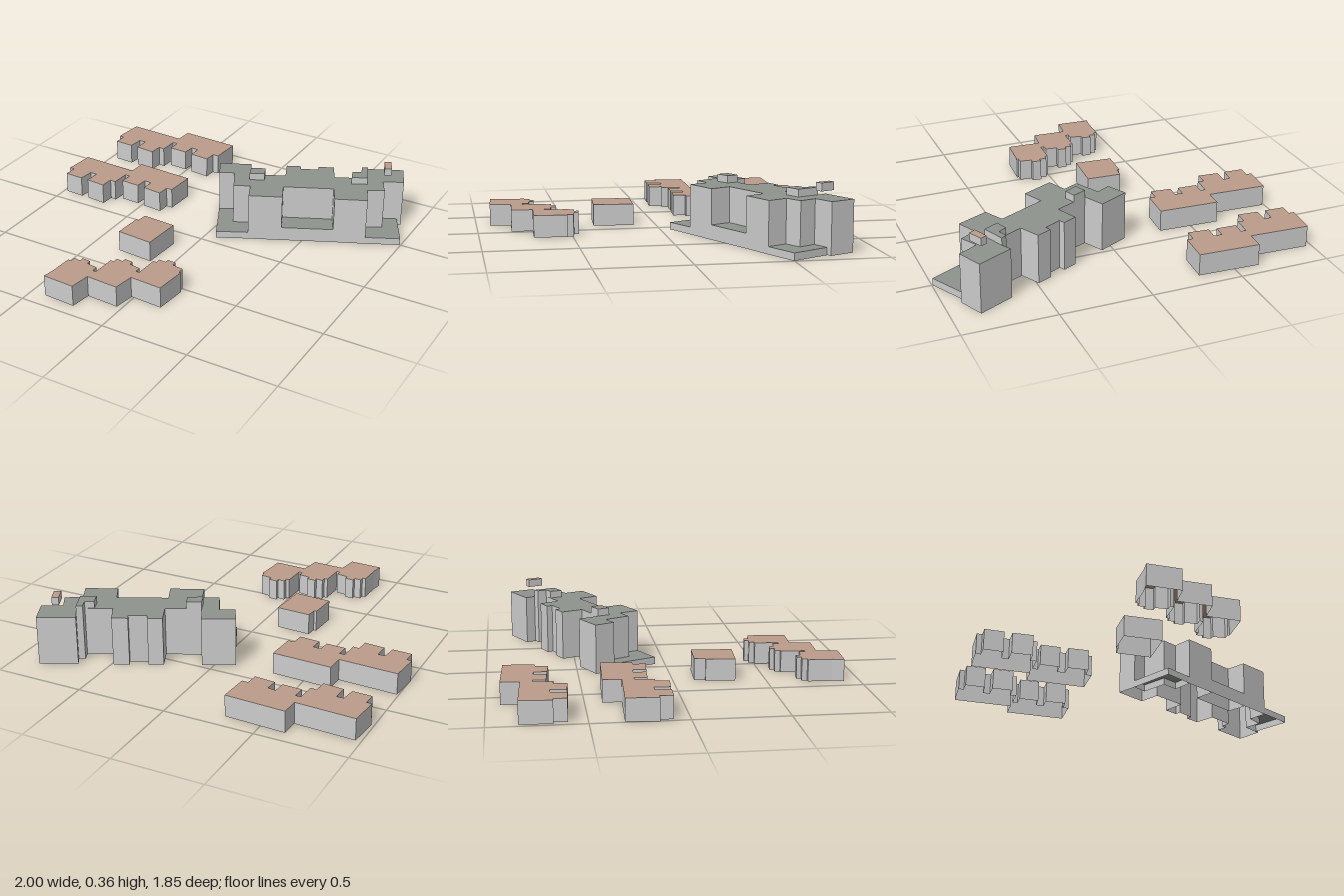
import * as THREE from 'three';

const wallMat = new THREE.MeshStandardMaterial({ color: 0xcccccc, side: THREE.DoubleSide, flatShading: true });
const brownRoof = new THREE.MeshStandardMaterial({ color: 0xbc9c8b, side: THREE.DoubleSide });
const greyRoof = new THREE.MeshStandardMaterial({ color: 0x8f938e, side: THREE.DoubleSide });

// Upright walls along a closed footprint of [x, z] points
function wallGeometry(points, bottom, top) {
  const pos = [];
  points.forEach(([ax, az], i) => {
    const [bx, bz] = points[(i + 1) % points.length];
    pos.push(ax, bottom, az, bx, bottom, bz, bx, top, bz);
    pos.push(ax, bottom, az, bx, top, bz, ax, top, az);
  });
  const geo = new THREE.BufferGeometry();
  geo.setAttribute('position', new THREE.Float32BufferAttribute(pos, 3));
  geo.computeVertexNormals();
  return geo;
}

// One volume, open underneath: walls plus a flat roof
function block(name, footprint, bottom, top, roofMat) {
  const flat = footprint.map(([x, z]) => new THREE.Vector2(x, -z));
  if (THREE.ShapeUtils.isClockWise(flat)) flat.reverse();
  const group = new THREE.Group();
  group.name = name;
  const walls = new THREE.Mesh(wallGeometry(flat.map(p => [p.x, -p.y]), bottom, top), wallMat);
  walls.name = name + 'Walls';
  const roof = new THREE.Mesh(new THREE.ShapeGeometry(new THREE.Shape(flat)), roofMat);
  roof.geometry.rotateX(-Math.PI / 2);
  roof.position.y = top;
  roof.name = name + 'Roof';
  group.add(walls, roof);
  return group;
}

// Pair of joined houses with projecting bays
const rowHouse = [
  [-0.97, -0.84], [-0.64, -0.825], [-0.635, -0.925], [-0.3, -0.91], [-0.31, -0.74], [-0.345, -0.74],
  [-0.35, -0.67], [-0.465, -0.68], [-0.46, -0.75], [-0.505, -0.755], [-0.51, -0.685], [-0.62, -0.69],
  [-0.615, -0.76], [-0.645, -0.76], [-0.65, -0.655], [-0.685, -0.66], [-0.69, -0.585], [-0.805, -0.595],
  [-0.8, -0.68], [-0.84, -0.68], [-0.85, -0.595], [-0.96, -0.6], [-0.955, -0.67], [-0.985, -0.67],
];

const smallHouse = [[-0.3, 0.115], [-0.105, 0.125], [-0.12, 0.35], [-0.33, 0.335], [-0.32, 0.175], [-0.305, 0.175]];

// Three stepped terrace houses share one footprint
function terraceFootprint() {
  const backEdge = [
    [-0.005, 0.635], [0, 0.505], [0.02, 0.505], [0.02, 0.475], [0.06, 0.48], [0.06, 0.455],
    [0.11, 0.46], [0.11, 0.485], [0.175, 0.495], [0.175, 0.53], [0.185, 0.53],
  ];
  const frontEdge = [[0.17, 0.71], [-0.015, 0.7]];
  const back = [], front = [];
  for (let i = 0; i < 3; i++) {
    const shift = ([x, z]) => [x - 0.2 * (2 - i), z + 0.107 * (2 - i)];
    back.push(...backEdge.map(shift));
    front.unshift(...frontEdge.map(shift));
  }
  return [...back, ...front];
}

// Large angled block, listed along the back and then the front
const mainBlock = [
  [-0.105, -0.4], [0.06, -0.48], [0.115, -0.37], [0.295, -0.45], [0.245, -0.565], [0.32, -0.6],
  [0.335, -0.57], [0.425, -0.615], [0.41, -0.645], [0.49, -0.68], [0.545, -0.575], [0.68, -0.64],
  [0.66, -0.69], [0.69, -0.71], [0.66, -0.76], [0.85, -0.85], [0.91, -0.715], [0.805, -0.66],
  [0.855, -0.57], [0.77, -0.52], [0.82, -0.415], [0.655, -0.34], [0.6, -0.445], [0.345, -0.325],
  [0.395, -0.215], [0.225, -0.135], [0.18, -0.24], [0.095, -0.2], [0.025, -0.335], [-0.05, -0.295],
];
const rightDeck = [[-0.05, -0.295], [0.025, -0.335], [0.095, -0.2], [0.18, -0.24], [0.225, -0.135], [0.065, -0.055]];
const leftDeck = [[0.805, -0.66], [0.89, -0.7], [0.995, -0.5], [0.82, -0.415], [0.77, -0.52], [0.855, -0.57]];
const frontTerrace = [[0.345, -0.325], [0.6, -0.445], [0.655, -0.34], [0.395, -0.215]];
const rightRoofBox = [[0.115, -0.37], [0.19, -0.405], [0.215, -0.345], [0.14, -0.305]];
const leftRoofBox = [[0.66, -0.69], [0.69, -0.71], [0.74, -0.59], [0.66, -0.55], [0.635, -0.615], [0.68, -0.64]];
const roofHut = [[0.775, -0.74], [0.81, -0.755], [0.845, -0.68], [0.81, -0.66]];

export function createModel() {
  const model = new THREE.Group();
  model.name = 'housingEstate';

  // Low houses
  const houseHeight = 0.12;
  const backRow = block('backRowHouse', rowHouse, 0, houseHeight, brownRoof);
  const middleRow = block('middleRowHouse', rowHouse, 0, houseHeight, brownRoof);
  middleRow.position.set(-0.02, 0, 0.515);
  model.add(
    backRow, middleRow,
    block('smallHouse', smallHouse, 0, houseHeight, brownRoof),
    block('terraceHouses', terraceFootprint(), 0, houseHeight, brownRoof),
  );

  // Large building with its decks and rooftop structures
  const building = new THREE.Group();
  building.name = 'largeBuilding';
  building.add(
    block('mainBlock', mainBlock, 0, 0.275, greyRoof),
    block('rightDeck', rightDeck, 0, 0.04, greyRoof),
    block('leftDeck', leftDeck, 0, 0.04, greyRoof),
    block('frontTerrace', frontTerrace, 0, 0.08, greyRoof),
    block('rightRoofBox', rightRoofBox, 0.275, 0.315, greyRoof),
    block('leftRoofBox', leftRoofBox, 0.275, 0.315, greyRoof),
    block('roofHut', roofHut, 0.317, 0.36, brownRoof),
  );
  model.add(building);
  return model;
}
